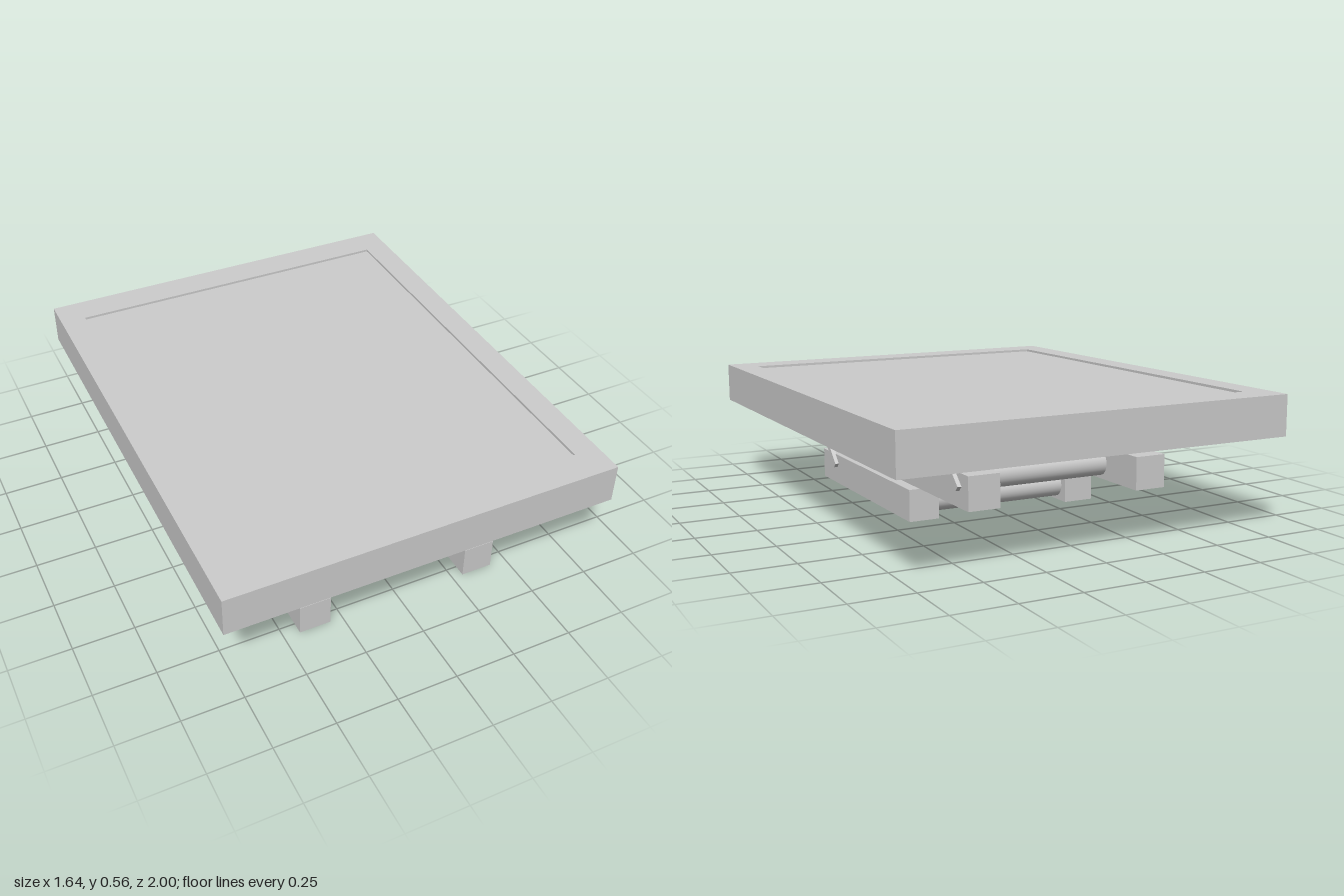
import * as THREE from 'three';

export function createModel() {
  const model = new THREE.Group();
  model.name = 'foldingAtticLadder';
  const tilted = new THREE.Group();
  tilted.name = 'hatchAndLadder';
  tilted.rotation.x = 0.013; // the hatch rises slightly towards the back
  model.add(tilted);

  const material = new THREE.MeshStandardMaterial({ color: 0xcccccc });
  const add = (name, geometry, x, y, z, parent = tilted) => {
    const mesh = new THREE.Mesh(geometry, material);
    mesh.name = name;
    mesh.position.set(x, y, z);
    parent.add(mesh);
    return mesh;
  };
  const rectangle = (PathType, w, d) => new PathType([
    new THREE.Vector2(-w, -d), new THREE.Vector2(w, -d),
    new THREE.Vector2(w, d), new THREE.Vector2(-w, d),
  ]);

  // Hatch frame with a rectangular opening
  const frameShape = rectangle(THREE.Shape, 0.818, 0.998);
  frameShape.holes.push(rectangle(THREE.Path, 0.712, 0.866));
  const frame = new THREE.ExtrudeGeometry(frameShape, { depth: 0.166, bevelEnabled: false });
  frame.rotateX(-Math.PI / 2);
  add('hatchFrame', frame, 0, 0.38, 0);

  // Door panel, recessed above and below
  add('hatchPanel', new THREE.BoxGeometry(1.424, 0.086, 1.732), 0, 0.493, 0);

  // Three stacked ladder sections: two rails and a row of rungs each
  const sections = [
    { name: 'upperSection', y: 0.386, back: -0.74, rungs: 4 },
    { name: 'middleSection', y: 0.236, back: -0.74, rungs: 4 },
    { name: 'lowerSection', y: 0.077, back: -0.205, rungs: 3 },
  ];
  const front = 0.8, centreX = -0.003;
  for (const { name, y, back, rungs } of sections) {
    const section = new THREE.Group();
    section.name = name;
    section.position.set(centreX, y, 0);
    tilted.add(section);
    for (const side of [-1, 1]) {
      add(side > 0 ? 'leftRail' : 'rightRail',
        new THREE.BoxGeometry(0.131, 0.133, front - back), side * 0.365, 0, (front + back) / 2, section);
    }
    for (let i = 0; i < rungs; i++) {
      const rung = new THREE.CylinderGeometry(0.053, 0.053, 0.62, 32);
      rung.rotateZ(Math.PI / 2);
      add('rung', rung, 0, 0, 0.59 - i * 0.355, section);
    }
  }

  // Slanted hinge arms joining neighbouring sections
  for (const side of [-1, 1]) {
    for (const [name, y, z] of [['frontHingeArm', 0.169, 0.692], ['rearHingeArm', 0.318, -0.598]]) {
      const arm = add(name, new THREE.BoxGeometry(0.02, 0.026, 0.215), centreX + side * 0.437, y, z);
      arm.rotation.x = -0.76;
    }
  }
  return model;
}
